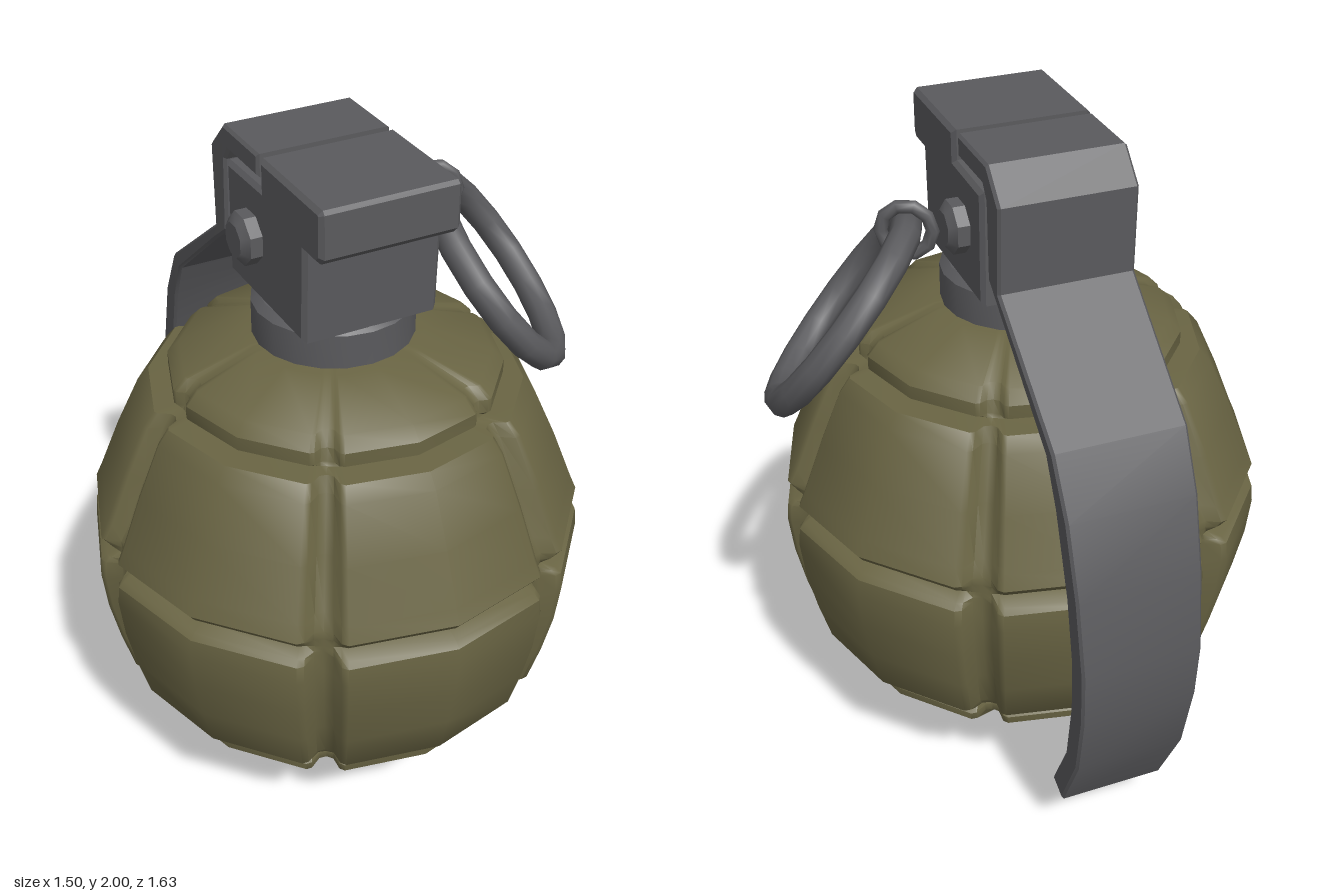
import * as THREE from 'three';
import { toCreasedNormals } from 'three/addons/utils/BufferGeometryUtils.js';

const CX = -0.03, CZ = 0.095;

// Segmented shell: rows of [height, radius, vertical groove depth]
function shellGeometry() {
  const rows = [
    [0.0, 0.001, 0], [0.015, 0.13, 0.008], [0.045, 0.205, 0.02], [0.07, 0.242, 0.025],
    [0.085, 0.235, 0.02], [0.092, 0.22, 0], [0.09, 0.28, 0.03],
    [0.105, 0.305, 0.04], [0.32, 0.58, 0.055], [0.345, 0.583, 0.055], [0.378, 0.545, 0.03],
    [0.385, 0.53, 0], [0.386, 0.605, 0.04], [0.42, 0.65, 0.06], [0.55, 0.685, 0.06],
    [0.68, 0.712, 0.06], [0.8, 0.724, 0.06], [0.855, 0.718, 0.06], [0.87, 0.7, 0.04],
    [0.885, 0.66, 0], [0.912, 0.695, 0.035], [0.935, 0.712, 0.055], [0.98, 0.692, 0.06],
    [1.13, 0.632, 0.06], [1.28, 0.563, 0.055], [1.32, 0.53, 0.045],
    [1.325, 0.455, 0], [1.335, 0.472, 0.025], [1.375, 0.472, 0.03], [1.41, 0.438, 0.03],
    [1.47, 0.25, 0.01], [1.48, 0.001, 0],
  ];
  // one sixth of a turn: [degrees, share of groove depth]
  const sector = [[0, 1], [2.2, 0.85], [4, 0.15], [5.5, 0], [30, 0], [54.5, 0], [56, 0.15], [57.8, 0.85]];
  const ring = [];
  for (let s = 0; s < 6; s++) for (const [a, g] of sector) ring.push([(a + s * 60) * Math.PI / 180, g]);
  const pos = [], idx = [], n = ring.length;
  rows.forEach(([y, r, d], i) => ring.forEach(([a, g], j) => {
    const q = r - d * g;
    pos.push(q * Math.cos(a), y, q * Math.sin(a));
    if (i === rows.length - 1) return;
    const k = (j + 1) % n, p = i * n, u = p + n;
    idx.push(p + j, u + j, u + k, p + j, u + k, p + k);
  }));
  const geo = new THREE.BufferGeometry();
  geo.setAttribute('position', new THREE.Float32BufferAttribute(pos, 3));
  geo.setIndex(idx);
  return toCreasedNormals(geo, 0.75);
}

// Side outline of [z, y] points swept across x, centred on x = 0
function sideExtrude(points, width, bevel) {
  const shape = new THREE.Shape(points.map(([z, y]) => new THREE.Vector2(z, y)));
  const geo = new THREE.ExtrudeGeometry(shape, {
    depth: width - 2 * bevel, bevelEnabled: true, bevelSegments: 1,
    bevelSize: bevel, bevelThickness: bevel, bevelOffset: -bevel,
  });
  geo.translate(0, 0, -(width / 2 - bevel));
  return geo.rotateY(-Math.PI / 2);
}

export function createModel() {
  const group = new THREE.Group();
  const olive = new THREE.MeshStandardMaterial({ color: 0x696443 });
  olive.name = 'olive';
  const metal = new THREE.MeshStandardMaterial({ color: 0x5a5a5d });
  metal.name = 'darkMetal';
  const add = (name, geo, mat, x = 0, y = 0, z = 0) => {
    const mesh = new THREE.Mesh(geo, mat);
    mesh.name = name;
    mesh.position.set(x, y, z);
    group.add(mesh);
    return mesh;
  };
  const lathe = (pts, sides) => toCreasedNormals(
    new THREE.LatheGeometry(pts.map(([r, y]) => new THREE.Vector2(r, y)), sides), 0.6);

  add('body', shellGeometry(), olive, CX, 0, CZ);

  // Collar between body and head
  add('neck', lathe([[0.228, 1.44], [0.228, 1.57], [0.205, 1.59], [0, 1.59]], 20), metal, CX, 0, 0.085);

  // Head block with front lip and a step at the back for the lever
  add('head', sideExtrude([
    [0.4, 1.99], [0.4, 1.87], [0.38, 1.85], [0.31, 1.85], [0.3, 1.58], [-0.15, 1.58],
    [-0.15, 1.91], [0.06, 1.915], [0.06, 2.0], [0.39, 2.0],
  ], 0.4, 0.012), metal, CX);

  // Bent lever, outer edge down and inner edge back up
  const lever = sideExtrude([
    [0.035, 2.0], [-0.18, 2.0], [-0.265, 1.915], [-0.26, 1.67], [-0.62, 1.4], [-0.71, 1.24],
    [-0.775, 1.03], [-0.815, 0.8], [-0.81, 0.63], [-0.77, 0.42], [-0.66, 0.19],
    [-0.59, 0.22], [-0.69, 0.42], [-0.73, 0.63], [-0.735, 0.8], [-0.705, 1.0], [-0.635, 1.24],
    [-0.575, 1.37], [-0.265, 1.62], [-0.185, 1.68], [-0.175, 1.9], [-0.15, 1.935], [0.035, 1.935],
  ], 0.39, 0.008);
  // Narrow the lever towards its tip
  const p = lever.attributes.position;
  for (let i = 0; i < p.count; i++) {
    const t = Math.max(0, 1.6 - p.getY(i)) / 1.4;
    p.setX(i, p.getX(i) * (1 - 0.18 * t));
  }
  lever.computeVertexNormals();
  add('lever', toCreasedNormals(lever, 0.4), metal, CX);

  // Pin with a faceted cap on each side of the head
  for (const side of [1, -1]) {
    const cap = lathe([[0.075, 0.18], [0.075, 0.235], [0.05, 0.255], [0, 0.255]], 8);
    cap.rotateY(Math.PI / 8);
    add(side > 0 ? 'leftPinCap' : 'rightPinCap', cap, metal, CX, 1.755, 0).rotation.z = -side * Math.PI / 2;
  }

  // Small link and the large pull ring hanging from it
  add('linkRing', new THREE.TorusGeometry(0.07, 0.019, 8, 10), metal, 0.325, 1.768, 0).rotation.y = -0.45;
  const pull = add('pullRing', new THREE.TorusGeometry(0.3, 0.043, 10, 16), metal, 0.495, 1.515, 0.08);
  pull.quaternion.setFromUnitVectors(
    new THREE.Vector3(0, 0, 1), new THREE.Vector3(0.7, 0.61, 0.36).normalize());

  return group;
}
